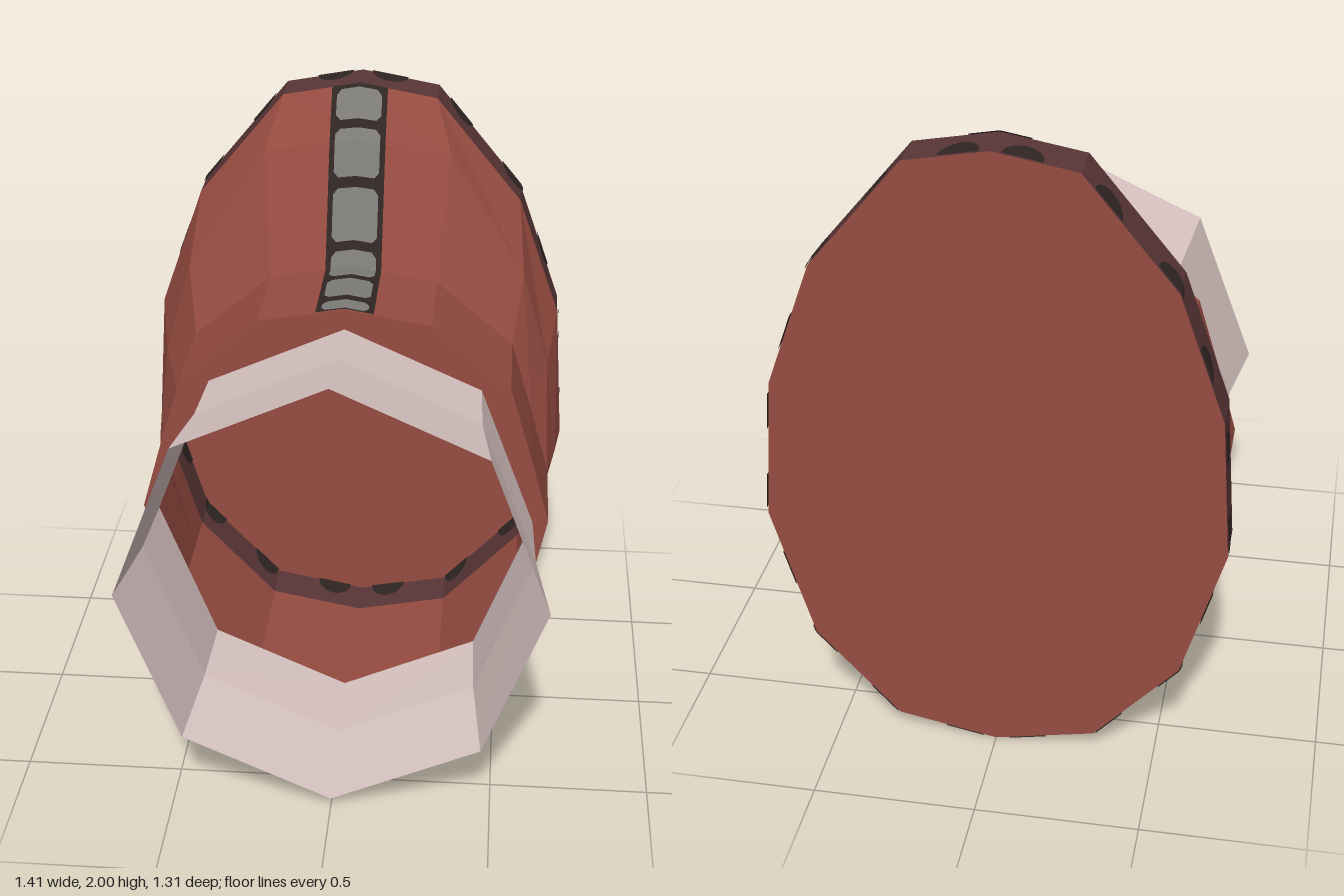
import * as THREE from 'three';

const mat = (name, color) => new THREE.MeshStandardMaterial({ name, color, side: THREE.DoubleSide, flatShading: true });

// Mirror a half outline (top to bottom, x >= 0) into a closed ring
const mirror = (half) => [...half, ...half.slice(1, -1).reverse().map(([x, y, z]) => [-x, y, z])];

function quadMesh(name, quads, material) {
  const pos = [];
  for (const [a, b, c, d] of quads) pos.push(...a, ...b, ...d, ...b, ...c, ...d);
  const g = new THREE.BufferGeometry();
  g.setAttribute('position', new THREE.Float32BufferAttribute(pos, 3));
  g.computeVertexNormals();
  const m = new THREE.Mesh(g, material);
  m.name = name;
  return m;
}

// Skin a list of closed rings, ordered front to back
function loft(name, rings, material) {
  const quads = [];
  for (let k = 0; k + 1 < rings.length; k++) {
    const p = rings[k], q = rings[k + 1], n = p.length;
    for (let i = 0; i < n; i++) quads.push([p[i], p[(i + 1) % n], q[(i + 1) % n], q[i]]);
  }
  return quadMesh(name, quads, material);
}

const atZ = (ring, z) => ring.map(([x, y]) => [x, y, z]);
const toPoints = (ring) => ring.map(([x, y]) => new THREE.Vector2(x, y));

export function createModel() {
  const group = new THREE.Group();
  const red = mat('brick red', 0x964c41);
  const pale = mat('pale pink', 0xd8c4c2);
  const rimBrown = mat('rim brown', 0x5a3637);
  const dark = mat('dark brown', 0x302624);
  const grey = mat('stone grey', 0x7c7b77);

  // Body cross-sections
  const low = [[0.57, 0.34], [0.31, 0.06], [0, 0]];
  const sleeve = mirror([[0, 1.475], [0.27, 1.43], [0.52, 1.22], [0.59, 0.99], [0.655, 0.76], ...low]);
  const middle = mirror([[0, 1.84, -0.4], [0.3, 1.81, -0.4], [0.55, 1.42, -0.34], [0.64, 1.1, -0.36],
    [0.68, 0.765, -0.36], ...low.map(([x, y]) => [x, y, -0.36])]);
  const rimHalf = [[0, 2], [0.25, 1.955], [0.53, 1.615], [0.67, 1.22], [0.7, 0.77], ...low];
  const rim = mirror(rimHalf);
  const zFront = 0.11, zBend = -0.235, zRim = -0.51, zBack = -0.655;

  group.add(loft('body', [atZ(sleeve, zFront), atZ(sleeve, zBend), middle, atZ(rim, zRim)], red));
  group.add(loft('rim', [atZ(rim, zRim), atZ(rim, zBack)], rimBrown));

  // Back plate
  const back = new THREE.Mesh(new THREE.ShapeGeometry(new THREE.Shape(toPoints(rim))), red);
  back.geometry.rotateY(Math.PI);
  back.position.z = zBack;
  back.name = 'backPlate';
  group.add(back);

  // Flared octagonal collar
  const octagon = (rx, ry, z) => Array.from({ length: 8 }, (_, i) => {
    const a = i * Math.PI / 4;
    return [rx * Math.sin(a), 0.753 + ry * Math.cos(a), z];
  });
  const collarBack = octagon(0.605, 0.657, zFront);
  group.add(loft('collar', [octagon(0.658, 0.72, 0.655), octagon(0.615, 0.672, 0.36), collarBack], pale));

  // Front ring face around the collar
  const ringShape = new THREE.Shape(toPoints(sleeve));
  ringShape.holes.push(new THREE.Path(toPoints(collarBack)));
  const frontRing = new THREE.Mesh(new THREE.ShapeGeometry(ringShape), red);
  frontRing.position.z = zFront;
  frontRing.name = 'frontRing';
  group.add(frontRing);

  // Half-round spots along the back edge of the rim, outside and inside
  const rimPoint = (s, lift) => {
    for (let i = 0; ; i++) {
      const [ax, ay] = rimHalf[i], [bx, by] = rimHalf[i + 1];
      const len = Math.hypot(bx - ax, by - ay);
      if (s <= len || i === rimHalf.length - 2) {
        const ux = (bx - ax) / len, uy = (by - ay) / len;
        return [ax + ux * s - uy * lift, ay + uy * s + ux * lift];
      }
      s -= len;
    }
  };
  const steps = 16, halfWidth = 0.06, depth = 0.08;
  for (const lift of [0.004, -0.004]) {
    const quads = [];
    for (let k = 0; k < 10; k++) for (const side of [1, -1]) {
      const column = (i) => {
        const t = -Math.cos(Math.PI * i / steps);
        const [x, y] = rimPoint(0.09 + 0.28 * k + t * halfWidth, lift);
        const h = depth * Math.sqrt(Math.max(0, 1 - t * t));
        return [[side * x, y, zBack + h], [side * x, y, zBack]];
      };
      for (let i = 0; i < steps; i++) {
        const [a, d] = column(i), [b, c] = column(i + 1);
        quads.push(side * lift > 0 ? [a, b, c, d] : [b, a, d, c]);
      }
    }
    group.add(quadMesh(lift > 0 ? 'rimSpots' : 'innerRimSpots', quads, dark));
  }

  // Stripe along the top ridge: z, y, sideways drop
  const ridge = [[zFront, 1.475, 0.167], [zBend, 1.475, 0.167], [-0.4, 1.84, 0.1], [zRim, 2, 0.18]];
  const starts = [0];
  for (let i = 0; i < 3; i++) {
    starts.push(starts[i] + Math.hypot(ridge[i + 1][0] - ridge[i][0], ridge[i + 1][1] - ridge[i][1]));
  }
  const total = starts[3];
  const ridgePoint = (s, x, lift) => {
    const i = s < starts[1] ? 0 : s < starts[2] ? 1 : 2;
    const [az, ay, ad] = ridge[i], [bz, by, bd] = ridge[i + 1];
    const len = starts[i + 1] - starts[i], t = (s - starts[i]) / len;
    return [x, ay + (by - ay) * t - Math.abs(x) * (ad + (bd - ad) * t) - (bz - az) / len * lift,
      az + (bz - az) * t + (by - ay) / len * lift];
  };
  // Rows are [distance along ridge, half width]
  const strip = (rows, lift) => {
    const quads = [];
    for (let i = 0; i + 1 < rows.length; i++) {
      const [s, w] = rows[i], [e, v] = rows[i + 1];
      for (const [l, r, l2, r2] of [[-w, 0, -v, 0], [0, w, 0, v]]) {
        const q = [ridgePoint(s, l, lift), ridgePoint(s, r, lift), ridgePoint(e, r2, lift), ridgePoint(e, l2, lift)];
        quads.push(lift > 0 ? q : q.reverse());
      }
    }
    return quads;
  };
  const cells = [[0, 0.065], [0.1, 0.235], [0.265, 0.4], [0.43, 0.6], [0.635, 0.79], [0.82, 0.925]];
  for (const sign of [1, -1]) {
    const prefix = sign > 0 ? 'ridge' : 'innerRidge';
    const baseRows = [0, starts[1], starts[2], total].map((s) => [s, 0.09]);
    group.add(quadMesh(prefix + 'Stripe', strip(baseRows, 0.004 * sign), dark));
    const quads = cells.flatMap(([a, b]) => {
      const rows = [[a, 0.058], [a + 0.018, 0.073], [b - 0.018, 0.073], [b, 0.058]];
      for (const s of starts) if (s > a + 0.02 && s < b - 0.02) rows.push([s, 0.073]);
      return strip(rows.sort((p, q) => p[0] - q[0]), 0.008 * sign);
    });
    group.add(quadMesh(prefix + 'Blocks', quads, grey));
  }
  return group;
}
